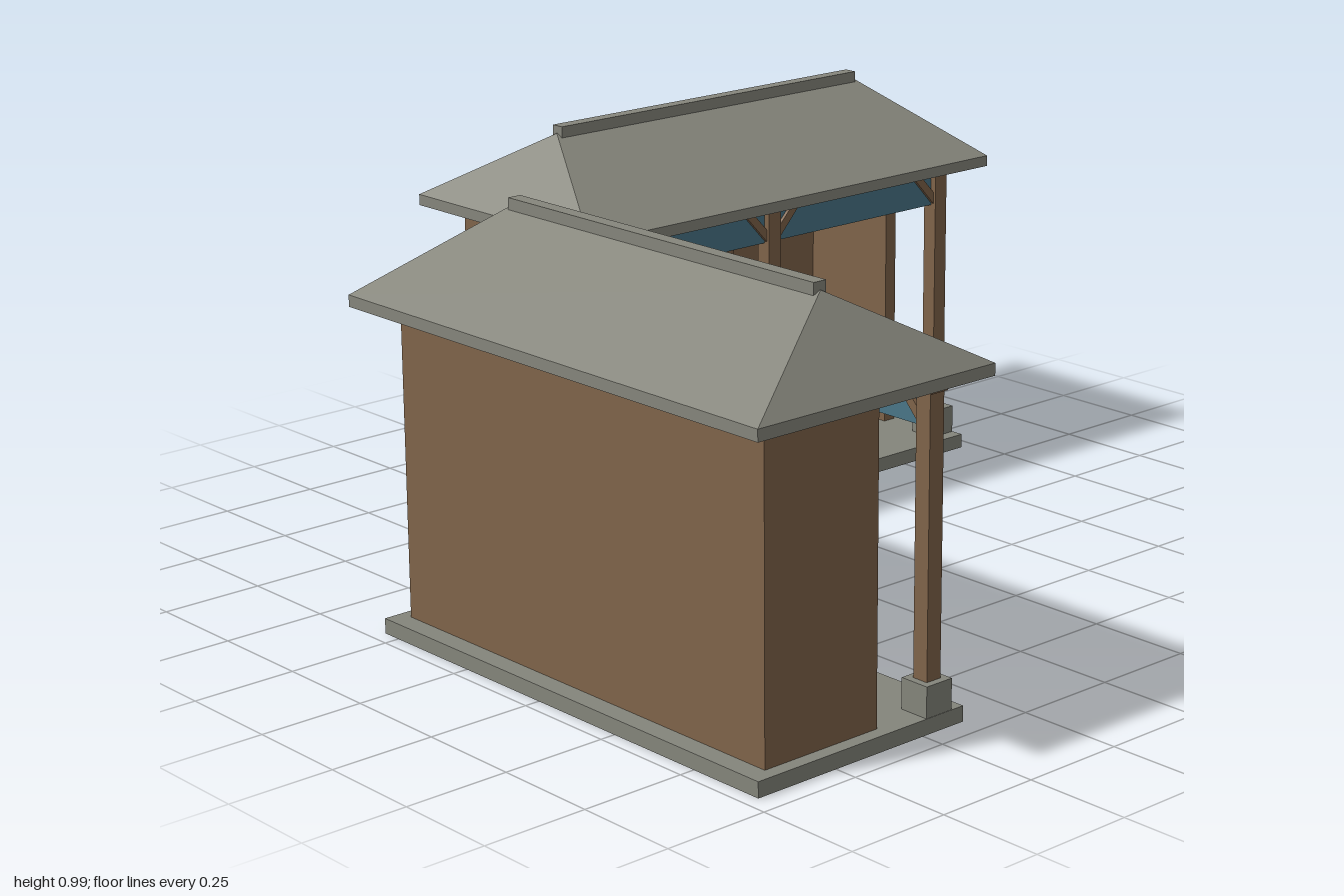
import * as THREE from 'three';

const mat = (name, color, side = THREE.FrontSide) => {
  const m = new THREE.MeshStandardMaterial({ color, side });
  m.name = name;
  return m;
};

export function createModel() {
  const timber = mat('timber', 0x80644a);
  const stone = mat('stone', 0x84857b);
  const tile = mat('roofTile', 0x86867c, THREE.DoubleSide);
  const cloth = mat('blueValance', 0x4a7688, THREE.DoubleSide);

  // Box given by its lower and upper corners
  const box = (parent, name, material, [x0, y0, z0], [x1, y1, z1]) => {
    const mesh = new THREE.Mesh(new THREE.BoxGeometry(x1 - x0, y1 - y0, z1 - z0), material);
    mesh.position.set((x0 + x1) / 2, (y0 + y1) / 2, (z0 + z1) / 2);
    mesh.name = name;
    parent.add(mesh);
    return mesh;
  };

  // Hipped roof: four slopes rising from the eaves to a ridge line
  const hipGeometry = (hx, hz, y0, ridge, y1) => {
    const a = [-hx, y0, hz], b = [hx, y0, hz], c = [hx, y0, -hz], d = [-hx, y0, -hz];
    const l = [-ridge, y1, 0], r = [ridge, y1, 0];
    const tris = [a, b, r, a, r, l, c, d, l, c, l, r, b, c, r, d, a, l];
    const g = new THREE.BufferGeometry();
    g.setAttribute('position', new THREE.Float32BufferAttribute(tris.flat(), 3));
    g.computeVertexNormals();
    return g;
  };

  const makeRoof = () => {
    const roof = new THREE.Group();
    roof.name = 'roof';
    const hx = 0.662, hz = 0.327, t = 0.015, y0 = 0.76, y1 = 0.787;
    const slopes = new THREE.Mesh(hipGeometry(hx, hz, y1, 0.49, 0.967), tile);
    slopes.name = 'roofSlopes';
    roof.add(slopes);
    for (const s of [-1, 1]) {
      const z = s * (hz - t / 2), x = s * (hx - t / 2);
      box(roof, 'longEave', tile, [-hx, y0, z - t / 2], [hx, y1, z + t / 2]);
      box(roof, 'shortEave', tile, [x - t / 2, y0, -hz + t], [x + t / 2, y1, hz - t]);
    }
    box(roof, 'ridgeCap', tile, [-0.488, 0.955, -0.017], [0.488, 0.985, 0.017]);
    return roof;
  };

  const makeBench = () => {
    const bench = new THREE.Group();
    bench.name = 'bench';
    // Three seat planks over an apron
    for (let i = 0; i < 3; i++) {
      const z = -0.08 + i * 0.055;
      box(bench, 'seatPlank', timber, [-0.248, 0.249, z], [0.248, 0.265, z + 0.05]);
    }
    for (const s of [-1, 1]) {
      const z = s * 0.065;
      box(bench, 'apron', timber, [-0.248, 0.215, z - 0.01], [0.248, 0.249, z + 0.01]);
      for (const e of [-1, 1]) {
        const x = e * 0.2;
        box(bench, 'benchLeg', timber, [x - 0.01, 0.035, z - 0.01], [x + 0.01, 0.215, z + 0.01]);
      }
    }
    for (const e of [-1, 1]) {
      box(bench, 'crossRail', timber, [e * 0.2 - 0.01, 0.218, -0.055], [e * 0.2 + 0.01, 0.249, 0.055]);
    }
    return bench;
  };

  // Diagonal strut between a post and the beam
  const strut = new THREE.Shape();
  [[0, 0.66], [0.07, 0.735], [0.042, 0.735], [0, 0.69]].forEach(([x, y], i) =>
    i ? strut.lineTo(x, y) : strut.moveTo(x, y));
  const strutGeometry = new THREE.ExtrudeGeometry(strut, { depth: 0.025, bevelEnabled: false });
  strutGeometry.translate(0, 0, -0.0125);

  const makeShelter = () => {
    const shelter = new THREE.Group();
    shelter.name = 'shelter';
    box(shelter, 'floorSlab', stone, [-0.621, 0, -0.291], [0.621, 0.036, 0.291]);

    // Back wall, two end walls and the middle partition
    const w = 0.588, t = 0.035, back = -0.243, front = 0.07;
    box(shelter, 'backWall', timber, [-w, 0.036, back], [w, 0.765, back + t]);
    for (const x of [-w + t / 2, 0, w - t / 2]) {
      box(shelter, 'partitionWall', timber, [x - t / 2, 0.036, back + t], [x + t / 2, 0.765, front]);
    }

    // Posts on stone feet with struts
    const pz = 0.22;
    for (const i of [-1, 0, 1]) {
      const x = i * 0.583;
      box(shelter, 'postFoot', stone, [x - 0.037, 0.036, pz - 0.037], [x + 0.037, 0.107, pz + 0.037]);
      box(shelter, 'post', timber, [x - 0.02, 0.107, pz - 0.02], [x + 0.02, 0.737, pz + 0.02]);
      for (const s of [-1, 1]) {
        if (i * s > 0) continue;
        const brace = new THREE.Mesh(strutGeometry, timber);
        brace.position.set(x + s * 0.02, 0, pz);
        if (s < 0) brace.rotation.y = Math.PI;
        brace.name = 'strut';
        shelter.add(brace);
      }
    }
    box(shelter, 'frontBeam', timber, [-0.61, 0.735, pz - 0.023], [0.61, 0.765, pz + 0.023]);
    box(shelter, 'valance', cloth, [-0.565, 0.655, pz - 0.004], [0.565, 0.735, pz + 0.004]);

    for (const s of [-1, 1]) {
      const bench = makeBench();
      bench.position.set(s * 0.292, 0, -0.05);
      shelter.add(bench);
    }
    shelter.add(makeRoof());
    return shelter;
  };

  // Two shelters standing at a right angle
  const model = new THREE.Group();
  model.name = 'shelterPair';
  const rear = makeShelter();
  rear.name = 'rearShelter';
  rear.position.set(0.338, 0, -0.658);
  const side = makeShelter();
  side.name = 'sideShelter';
  side.position.set(-0.673, 0, 0.323);
  side.rotation.y = Math.PI / 2;
  model.add(rear, side);
  return model;
}
